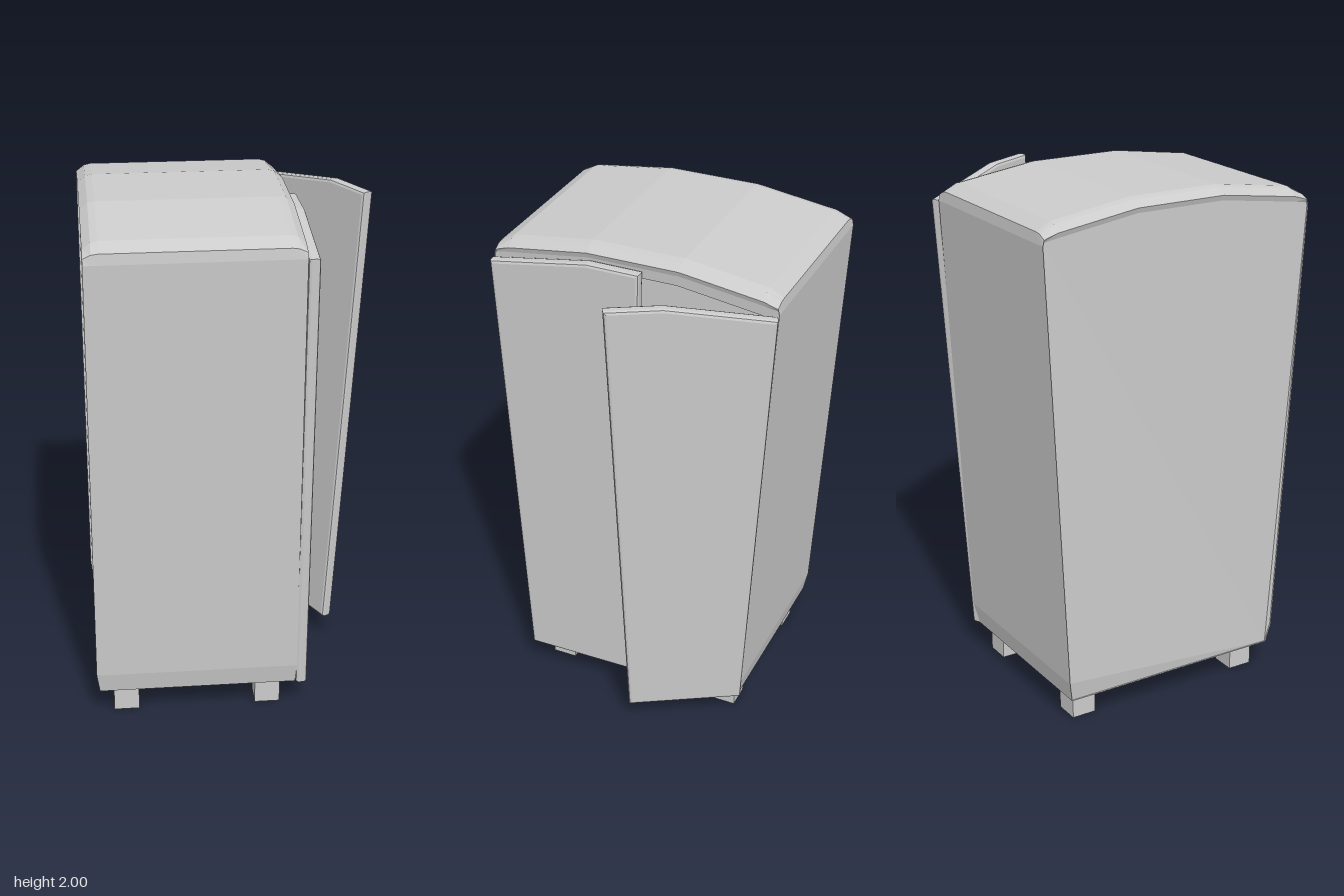
import * as THREE from 'three';

const mat = () => new THREE.MeshStandardMaterial({ color: 0xcccccc, flatShading: true });

// Half outline of the cabinet as [z, y], from floor to roof, then mirrored
const half = [[0.45, 0.11], [0.465, 0.19], [0.56, 1.885], [0.555, 1.925], [0.5, 1.955], [0.18, 2.0]];
const outline = [...half, ...half.slice().reverse().map(([z, y]) => [-z, y])];

// One cross-section at x; drop lowers the roof edge, inner shrinks it to the inside walls
function section(x, drop, inner) {
  return outline.map(([z, y]) => {
    const h = y - drop * THREE.MathUtils.clamp((y - 1.885) / 0.07, 0, 1);
    const taper = y < 0.15 ? 0.98 : 1;
    return inner ? [x, 0.19 + (h - 0.11) * 0.935, z * 0.945] : [x * taper, h, z];
  });
}

// Hollow cabinet: back wall, outside, front rim, inside and inner back wall
function cabinetGeometry() {
  const rings = [
    section(-0.548, 0.05), section(-0.555, 0.03), section(-0.525, 0.006), section(-0.5, 0),
    section(0.17, 0), section(0.195, 0.006), section(0.225, 0.03), section(0.218, 0.05),
    section(0.215, 0.05, true), section(-0.52, 0.05, true),
  ];
  const n = outline.length, last = (rings.length - 1) * n, index = [];
  for (let i = 0; i < rings.length - 1; i++) {
    for (let j = 0; j < n; j++) {
      const a = i * n + j, b = i * n + (j + 1) % n;
      index.push(a, a + n, b, b, a + n, b + n);
    }
  }
  for (let j = 1; j < n - 1; j++) {
    index.push(0, j, j + 1, last, last + j + 1, last + j);
  }
  const geo = new THREE.BufferGeometry();
  geo.setAttribute('position', new THREE.Float32BufferAttribute(rings.flat(2), 3));
  geo.setIndex(index);
  const flat = geo.toNonIndexed();
  flat.computeVertexNormals();
  return flat;
}

// Bevelled tapered panel, set along a leaning hinge line.
// top and bottom are hinge points [x, z]; dir is the panel's direction [x, z]
function doorGeometry({ top, bottom, dir, outward, topWidth, bottomWidth, low }) {
  const b = 0.012, thick = 0.045;
  const shape = new THREE.Shape([
    [b, 0.11 + b], [bottomWidth - b, low + b], [topWidth - b, 1.945 - b],
    [topWidth * 0.66, 1.947 - b], [b, 1.885 - b],
  ].map(([s, y]) => new THREE.Vector2(s, y)));
  const geo = new THREE.ExtrudeGeometry(shape, {
    depth: thick - 2 * b, bevelThickness: b, bevelSize: b, bevelSegments: 2,
  });
  geo.translate(0, 0, outward > 0 ? b : b - thick);
  const p = geo.attributes.position;
  for (let i = 0; i < p.count; i++) {
    const s = p.getX(i), y = p.getY(i), w = p.getZ(i);
    const t = (y - 0.11) / 1.775;
    const hx = THREE.MathUtils.lerp(bottom[0], top[0], t);
    const hz = THREE.MathUtils.lerp(bottom[1], top[1], t);
    p.setXYZ(i, hx + s * dir[0] - w * dir[1], y, hz + s * dir[1] + w * dir[0]);
  }
  geo.computeVertexNormals();
  return geo;
}

export function createModel() {
  const group = new THREE.Group();
  const add = (name, geo) => {
    const mesh = new THREE.Mesh(geo, mat());
    mesh.name = name;
    group.add(mesh);
    return mesh;
  };

  add('cabinet', cabinetGeometry());

  // Door that is almost shut
  add('closedDoor', doorGeometry({
    top: [0.226, 0.557], bottom: [0.221, 0.46], dir: [-0.012, -1], outward: 1,
    topWidth: 0.6, bottomWidth: 0.46, low: 0.11,
  }));

  // Door that stands ajar
  add('openDoor', doorGeometry({
    top: [0.225, -0.553], bottom: [0.19, -0.445], dir: [0.477, 0.879], outward: -1,
    topWidth: 0.607, bottomWidth: 0.45, low: 0.098,
  }));

  // Four square feet
  for (const x of [-0.44, 0.115]) {
    for (const z of [-0.365, 0.365]) {
      add('foot', new THREE.BoxGeometry(0.098, 0.12, 0.098)).position.set(x, 0.06, z);
    }
  }
  return group;
}
